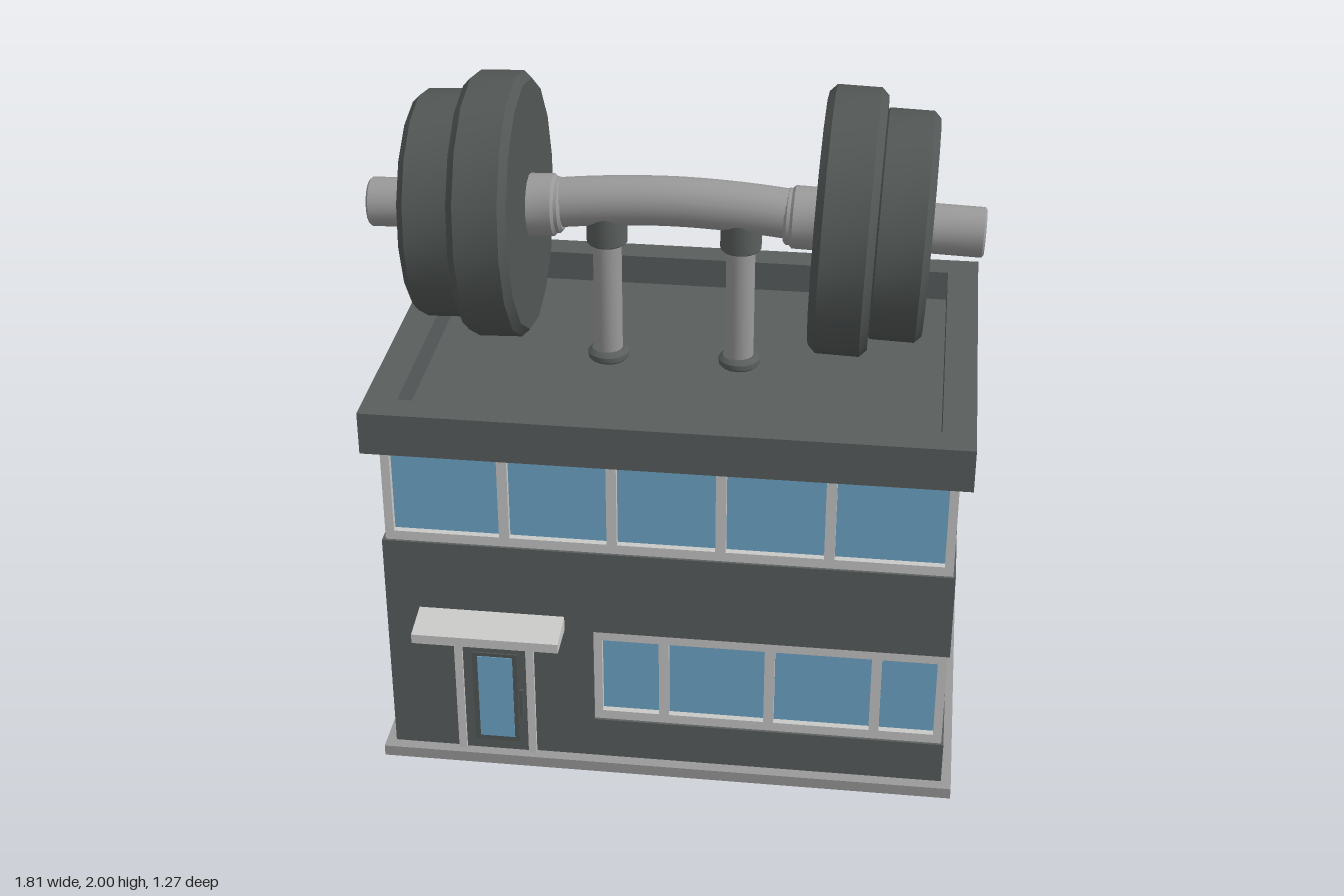
import * as THREE from 'three';
import { toCreasedNormals } from 'three/addons/utils/BufferGeometryUtils.js';

const material = (name, color) => {
  const m = new THREE.MeshStandardMaterial({ color });
  m.name = name;
  return m;
};

export function createModel() {
  const dark = material('dark wall grey', 0x5a5f5e);
  const iron = material('weight plate grey', 0x525756);
  const light = material('light frame grey', 0xc9c9c8);
  const steel = material('steel grey', 0x9b9a9a);
  const glass = material('window blue', 0x70aacb);
  const model = new THREE.Group();
  model.name = 'gymBuilding';

  const add = (name, geometry, mat, parent = model) => {
    const mesh = new THREE.Mesh(geometry, mat);
    mesh.name = name;
    parent.add(mesh);
    return mesh;
  };
  // Box given by its extents on each axis
  const box = (name, mat, x0, x1, y0, y1, z0, z1, parent = model) => {
    const mesh = add(name, new THREE.BoxGeometry(x1 - x0, y1 - y0, z1 - z0), mat, parent);
    mesh.position.set((x0 + x1) / 2, (y0 + y1) / 2, (z0 + z1) / 2);
    return mesh;
  };
  // Turned part with bevelled rims, running along y from a to b
  const turned = (name, mat, r, a, b, bevel, parent, sides = 16) => {
    const profile = [[0, a], [r - bevel, a], [r, a + bevel], [r, b - bevel], [r - bevel, b], [0, b]]
      .map(([x, y]) => new THREE.Vector2(x, y));
    return add(name, toCreasedNormals(new THREE.LatheGeometry(profile, sides), 0.6), mat, parent);
  };

  // Base slab and wall bands
  box('baseSlab', steel, -0.83, 0.90, 0, 0.035, -0.60, 0.55);
  box('lowerWall', dark, -0.80, 0.87, 0.035, 0.17, -0.565, 0.515);
  box('middleWall', dark, -0.80, 0.87, 0.49, 0.765, -0.565, 0.515);
  box('entranceWall', dark, -0.80, -0.18, 0.17, 0.49, 0.36, 0.515);

  // Flat roof with a raised rim
  const rim = new THREE.Shape([[-0.83, -0.573], [0.90, -0.573], [0.90, 0.633], [-0.83, 0.633]]
    .map(p => new THREE.Vector2(...p)));
  rim.holes.push(new THREE.Path([[-0.735, -0.48], [-0.735, 0.54], [0.805, 0.54], [0.805, -0.48]]
    .map(p => new THREE.Vector2(...p))));
  const rimGeometry = new THREE.ExtrudeGeometry(rim, { depth: 0.13, bevelEnabled: false });
  rimGeometry.rotateX(-Math.PI / 2);
  add('roofRim', rimGeometry, dark).position.y = 1.09;
  box('roofFloor', dark, -0.75, 0.82, 1.09, 1.125, -0.55, 0.49);

  // Window bands: glass core, rails, corner posts and mullions
  const X0 = -0.79, X1 = 0.863, Z0 = -0.555, Z1 = 0.507, T = 0.026;
  const windowBand = (name, y0, y1, frontMullions, leftFrontPost) => {
    const band = new THREE.Group();
    band.name = name;
    model.add(band);
    box('glass', glass, X0 + 0.02, X1 - 0.02, y0, y1, Z0 + 0.02, Z1 - 0.02, band);
    box('bottomRail', light, X0, X1, y0, y0 + 0.03, Z0, Z1, band);
    box('topRail', light, X0, X1, y1 - 0.033, y1, Z0, Z1, band);
    for (const x of [X0, X1 - T]) for (const z of [Z0, Z1 - T])
      box('cornerPost', light, x, x + T, y0, y1, z, z + T, band);
    for (const x of frontMullions)
      box('frontMullion', light, x - 0.015, x + 0.015, y0, y1, Z1 - T, Z1, band);
    for (const x of [-0.465, -0.145, 0.18, 0.50])
      box('backMullion', light, x - 0.015, x + 0.015, y0, y1, Z0, Z0 + T, band);
    for (const z of [0.224, -0.022, -0.272])
      box('leftMullion', light, X1 - T, X1, y0, y1, z - 0.018, z + 0.018, band);
    const span = leftFrontPost - Z0;
    for (const k of [0.25, 0.5, 0.75])
      box('rightMullion', light, X0, X0 + T, y0, y1, Z0 + span * k - 0.018, Z0 + span * k + 0.018, band);
    return band;
  };
  windowBand('upperWindows', 0.765, 1.09, [-0.437, -0.121, 0.195, 0.508], Z1);
  const lower = windowBand('lowerWindows', 0.17, 0.49, [-0.17, 0.03, 0.345, 0.66], 0.36);
  box('rightEndPost', light, X0, X0 + T, 0.17, 0.49, 0.34, 0.365, lower);

  // Entrance door
  const door = new THREE.Group();
  door.name = 'door';
  model.add(door);
  box('doorHead', light, -0.60, -0.36, 0.412, 0.44, 0.51, 0.528, door);
  for (const x of [-0.60, -0.384])
    box('doorJamb', light, x, x + 0.024, 0.035, 0.412, 0.51, 0.528, door);
  box('doorLeaf', dark, -0.576, -0.384, 0.035, 0.412, 0.51, 0.518, door);
  box('doorGlassFrame', iron, -0.548, -0.412, 0.07, 0.39, 0.514, 0.522, door);
  box('doorGlass', glass, -0.532, -0.426, 0.085, 0.378, 0.516, 0.524, door);
  box('handleBar', iron, -0.404, -0.394, 0.185, 0.275, 0.533, 0.543, door);
  for (const y of [0.20, 0.255])
    box('handleStub', iron, -0.403, -0.395, y, y + 0.008, 0.515, 0.535, door);

  // Canopy with a sloping top
  const canopy = new THREE.Shape([[0.51, 0.49], [0.635, 0.49], [0.635, 0.52], [0.51, 0.538]]
    .map(p => new THREE.Vector2(...p)));
  const canopyGeometry = new THREE.ExtrudeGeometry(canopy, { depth: 0.435, bevelEnabled: false });
  canopyGeometry.rotateY(-Math.PI / 2);
  add('canopy', canopyGeometry, light).position.x = -0.265;

  // Giant dumbbell on the roof
  const dumbbell = new THREE.Group();
  dumbbell.name = 'dumbbell';
  dumbbell.position.set(-0.006, 0, -0.03);
  model.add(dumbbell);

  // Bowed grip
  const grip = new THREE.CatmullRomCurve3([[-0.40, 1.62], [-0.2, 1.64], [0, 1.648], [0.2, 1.64], [0.40, 1.62]]
    .map(([x, y]) => new THREE.Vector3(x, y, 0)));
  add('grip', new THREE.TubeGeometry(grip, 20, 0.073, 16), steel, dumbbell);

  // Collar, two plates and bar tip on each side, drooping slightly outward
  for (const s of [-1, 1]) {
    const end = new THREE.Group();
    end.name = s > 0 ? 'leftWeights' : 'rightWeights';
    end.position.set(s * 0.38, 1.617, 0);
    end.rotation.z = -s * (Math.PI / 2 + 0.035);
    dumbbell.add(end);
    turned('collarLip', steel, 0.083, -0.055, 0, 0.008, end);
    turned('collar', steel, 0.092, -0.037, 0.06, 0.008, end);
    turned('largePlate', iron, 0.39, 0.043, 0.215, 0.022, end);
    turned('smallPlate', iron, 0.335, 0.20, 0.368, 0.02, end);
    turned('barTip', steel, 0.073, 0.3, 0.523, 0.006, end);
  }

  // Support posts with foot flanges and top sleeves
  for (const x of [-0.198, 0.198]) {
    const support = new THREE.Group();
    support.name = 'support';
    support.position.x = x;
    dumbbell.add(support);
    turned('post', steel, 0.043, 1.12, 1.6, 0.002, support);
    turned('footFlange', dark, 0.062, 1.12, 1.16, 0.012, support);
    turned('sleeve', dark, 0.061, 1.508, 1.63, 0.004, support);
  }
  return model;
}
